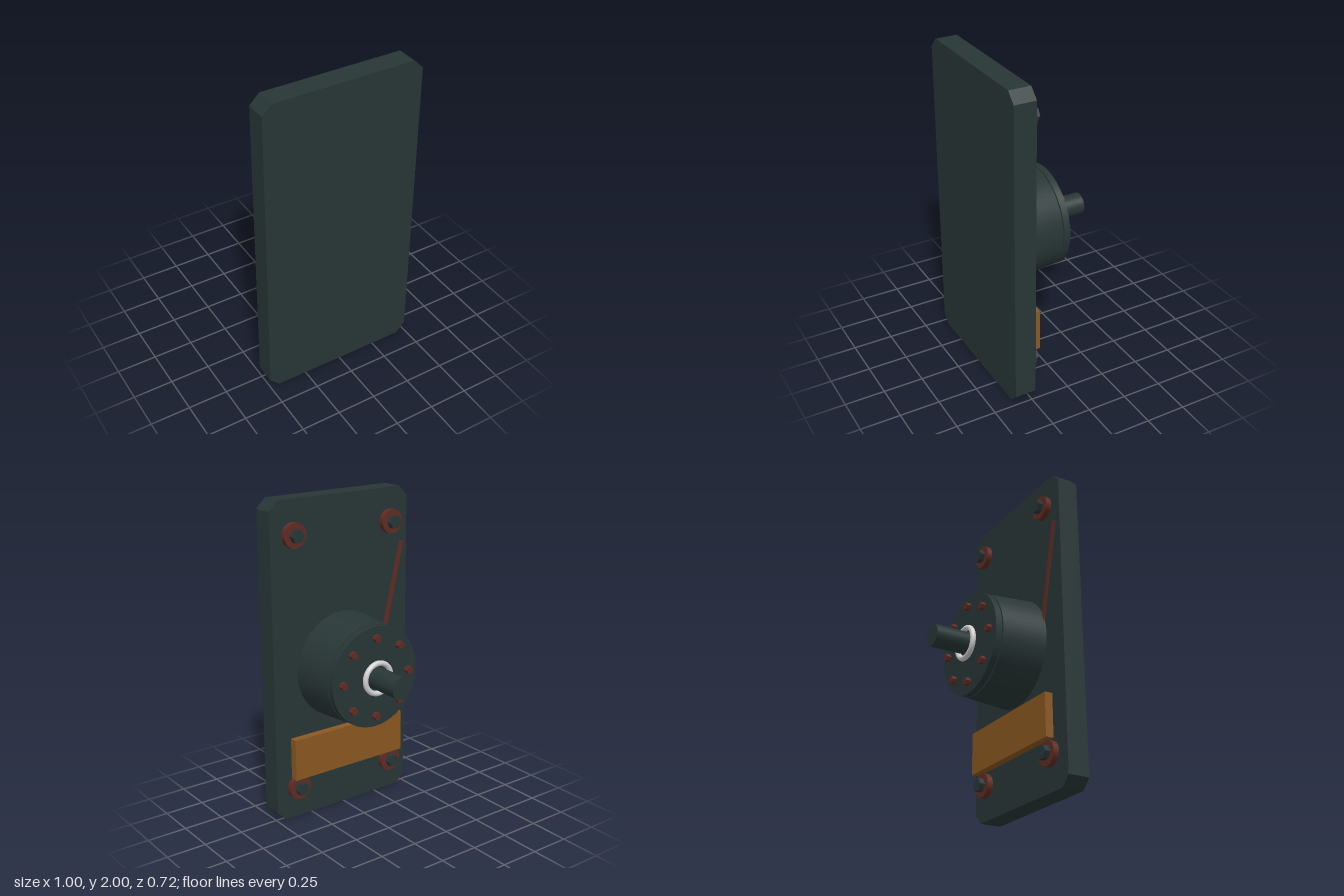
import * as THREE from 'three';

const mat = (name, color, extra = {}) => new THREE.MeshStandardMaterial({ name, color, ...extra });

export function createModel() {
  const iron = mat('dark iron', 0x283636);
  const rust = mat('rust', 0x602c24);
  const amber = mat('amber', 0x8b5822);
  const steel = mat('pale steel', 0xd0d0d0);

  const root = new THREE.Group();
  root.name = 'wallMount';
  const HUB_Y = 0.945;

  function add(name, geometry, material, x = 0, y = 0, z = 0, parent = root) {
    const mesh = new THREE.Mesh(geometry, material);
    mesh.name = name;
    mesh.position.set(x, y, z);
    parent.add(mesh);
    return mesh;
  }

  // Cylinder along z: rBack at zBack (the smaller z), rFront at zFront
  function disc(rBack, rFront, zBack, zFront, sides = 64) {
    const g = new THREE.CylinderGeometry(rBack, rFront, zFront - zBack, sides);
    return g.rotateX(-Math.PI / 2).translate(0, 0, (zBack + zFront) / 2);
  }

  // Hexagonal bolt head with its corners pointing along x
  function hex(r, zBack, zFront) {
    const g = disc(r, r, zBack, zFront, 6).rotateZ(Math.PI / 6).toNonIndexed();
    g.computeVertexNormals();
    return g;
  }

  // Back plate with clipped corners
  const c = 0.06;
  const outline = new THREE.Shape([
    [-0.5 + c, 0], [0.5 - c, 0], [0.5, c], [0.5, 2 - c],
    [0.5 - c, 2], [-0.5 + c, 2], [-0.5, 2 - c], [-0.5, c],
  ].map(([x, y]) => new THREE.Vector2(x, y)));
  add('plate', new THREE.ExtrudeGeometry(outline, { depth: 0.135, bevelEnabled: false }), iron, 0, 0, 0.225);

  // Corner bolts with washers
  const washerGeo = disc(0.075, 0.075, 0.18, 0.216, 32);
  const headGeo = hex(0.043, 0.146, 0.18);
  for (const x of [-0.355, 0.355]) {
    for (const y of [0.21, 1.795]) {
      const bolt = new THREE.Group();
      bolt.name = 'cornerBolt';
      bolt.position.set(x, y, 0);
      root.add(bolt);
      add('washer', washerGeo, rust, 0, 0, 0, bolt);
      add('boltHead', headGeo, iron, 0, 0, 0, bolt);
    }
  }

  // Tapered drum and its cover
  const hub = new THREE.Group();
  hub.name = 'hub';
  hub.position.y = HUB_Y;
  root.add(hub);
  add('drum', disc(0.315, 0.338, -0.063, 0.218), iron, 0, 0, 0, hub);
  add('cover', disc(0.314, 0.314, -0.11, -0.07), iron, 0, 0, 0, hub);

  // Ring of cover bolts
  const coverBoltGeo = hex(0.024, -0.14, -0.109);
  for (let i = 0; i < 8; i++) {
    const a = (i * Math.PI) / 4;
    add('coverBolt', coverBoltGeo, rust, 0.245 * Math.cos(a), 0.245 * Math.sin(a), 0, hub);
  }

  // Shaft and seal ring
  add('shaft', disc(0.068, 0.068, -0.36, -0.1, 40), iron, 0, 0, 0, hub);
  add('sealRing', new THREE.TorusGeometry(0.094, 0.017, 14, 48), steel, 0, 0, -0.137, hub);

  // Blank amber nameplate
  add('nameplate', new THREE.BoxGeometry(0.82, 0.265, 0.05), amber, 0, 0.4175, 0.171);

  // Thin slanted rust streak running in behind the drum
  const top = new THREE.Vector2(-0.453, 1.66), end = new THREE.Vector2(-0.285, 0.95);
  const streak = add('rustStreak', new THREE.BoxGeometry(0.032, top.distanceTo(end), 0.007), rust,
    (top.x + end.x) / 2, (top.y + end.y) / 2, 0.214);
  streak.rotation.z = Math.atan2(end.x - top.x, top.y - end.y);

  return root;
}
